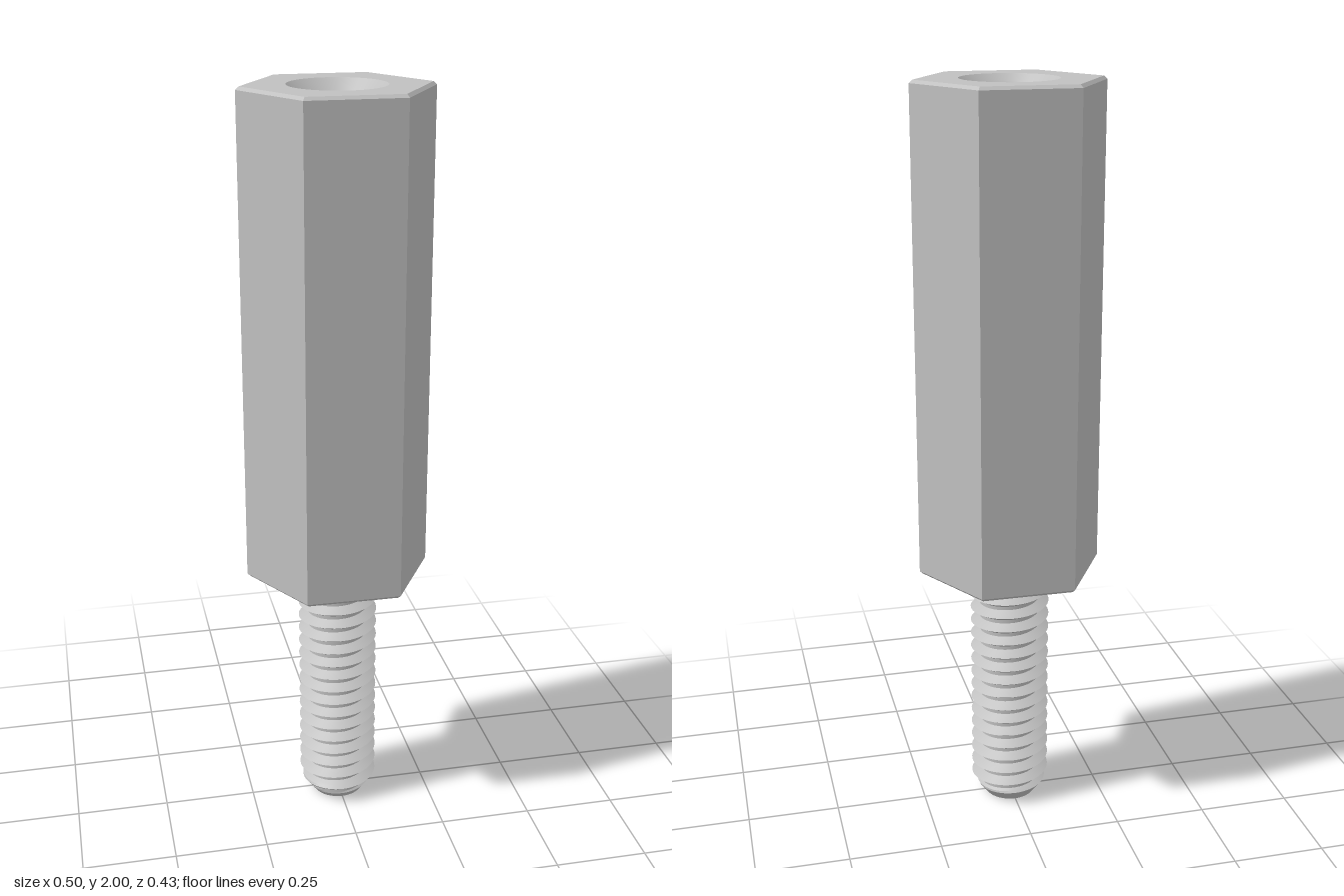
import * as THREE from 'three';
import { toCreasedNormals } from 'three/addons/utils/BufferGeometryUtils.js';

const PITCH = 0.04, ROWS = 8, SEGMENTS = 48;

// Right-handed helical thread between two heights; limit(r, y) trims it at the ends.
function threadGeometry(y0, y1, rootR, crestR, limit, inward) {
  const rows = Math.ceil((y1 - y0) / PITCH) * ROWS + ROWS;
  const positions = [], index = [];
  for (let j = 0; j <= rows; j++) {
    for (let i = 0; i <= SEGMENTS; i++) {
      const turn = i / SEGMENTS, t = turn * Math.PI * 2;
      const y = THREE.MathUtils.clamp(y0 + (j / ROWS - 1 + turn) * PITCH, y0, y1);
      const phase = THREE.MathUtils.euclideanModulo((y - y0) / PITCH - turn, 1);
      const d = Math.abs(phase - 0.5) * 2;
      const k = Math.max(0, (0.75 - d) / 0.75);
      const r = limit(rootR + (crestR - rootR) * k, y);
      positions.push(r * Math.cos(t), y, -r * Math.sin(t));
    }
  }
  const yOf = (v) => positions[v * 3 + 1];
  const addFace = (a, b, c) => {
    // Skip faces flattened onto either end
    if (yOf(a) === yOf(b) && yOf(b) === yOf(c)) return;
    if (inward) index.push(a, c, b);
    else index.push(a, b, c);
  };
  for (let j = 0; j < rows; j++) {
    for (let i = 0; i < SEGMENTS; i++) {
      const a = j * (SEGMENTS + 1) + i, d = a + SEGMENTS + 1;
      addFace(a, a + 1, d + 1);
      addFace(a, d + 1, d);
    }
  }
  const geometry = new THREE.BufferGeometry();
  geometry.setAttribute('position', new THREE.Float32BufferAttribute(positions, 3));
  geometry.setIndex(index);
  return toCreasedNormals(geometry, 0.4);
}

export function createModel() {
  const model = new THREE.Group();
  model.name = 'hexStandoff';
  const steel = new THREE.MeshStandardMaterial({ color: 0xc0c0c0 });
  steel.name = 'steel grey';

  const add = (name, geometry) => {
    const mesh = new THREE.Mesh(geometry, steel);
    mesh.name = name;
    model.add(mesh);
    return mesh;
  };

  const bottom = 0.7, top = 2, radius = 0.25, faceR = 0.241, bevel = 0.008;
  const mouthR = 0.126, holeFloor = 1.2;

  // Hexagonal body with bevelled ends and closed underside
  const profile = [
    [0, bottom], [faceR, bottom], [radius, bottom + bevel],
    [radius, top - bevel], [faceR, top],
  ].map(([x, y]) => new THREE.Vector2(x, y));
  const body = new THREE.LatheGeometry(profile, 6, Math.PI / 6).toNonIndexed();
  body.computeVertexNormals();
  add('hexBody', body);

  // Top face with the round hole opening
  const face = new THREE.Shape();
  for (let i = 0; i < 6; i++) {
    const t = i * Math.PI / 3;
    if (i === 0) face.moveTo(faceR, 0);
    else face.lineTo(faceR * Math.cos(t), faceR * Math.sin(t));
  }
  const hole = new THREE.Path();
  hole.absarc(0, 0, mouthR, 0, Math.PI * 2, true);
  face.holes.push(hole);
  add('topFace', new THREE.ShapeGeometry(face, SEGMENTS / 2).rotateX(-Math.PI / 2).translate(0, top, 0));

  // Threaded hole with countersunk mouth
  add('threadedHole', threadGeometry(holeFloor, top, 0.088, 0.108,
    (r, y) => Math.max(r, mouthR - (top - y)), true));
  add('holeFloor', new THREE.CircleGeometry(0.11, SEGMENTS).rotateX(-Math.PI / 2).translate(0, holeFloor, 0));

  // Threaded stud with tapered tip and a short neck under the body
  add('threadedStud', threadGeometry(0, bottom, 0.083, 0.108,
    (r, y) => Math.min(r, 0.07 + y * 0.75, y > 0.685 ? 0.083 : 1), false));
  add('studTip', new THREE.CircleGeometry(0.07, SEGMENTS).rotateX(Math.PI / 2));

  return model;
}
